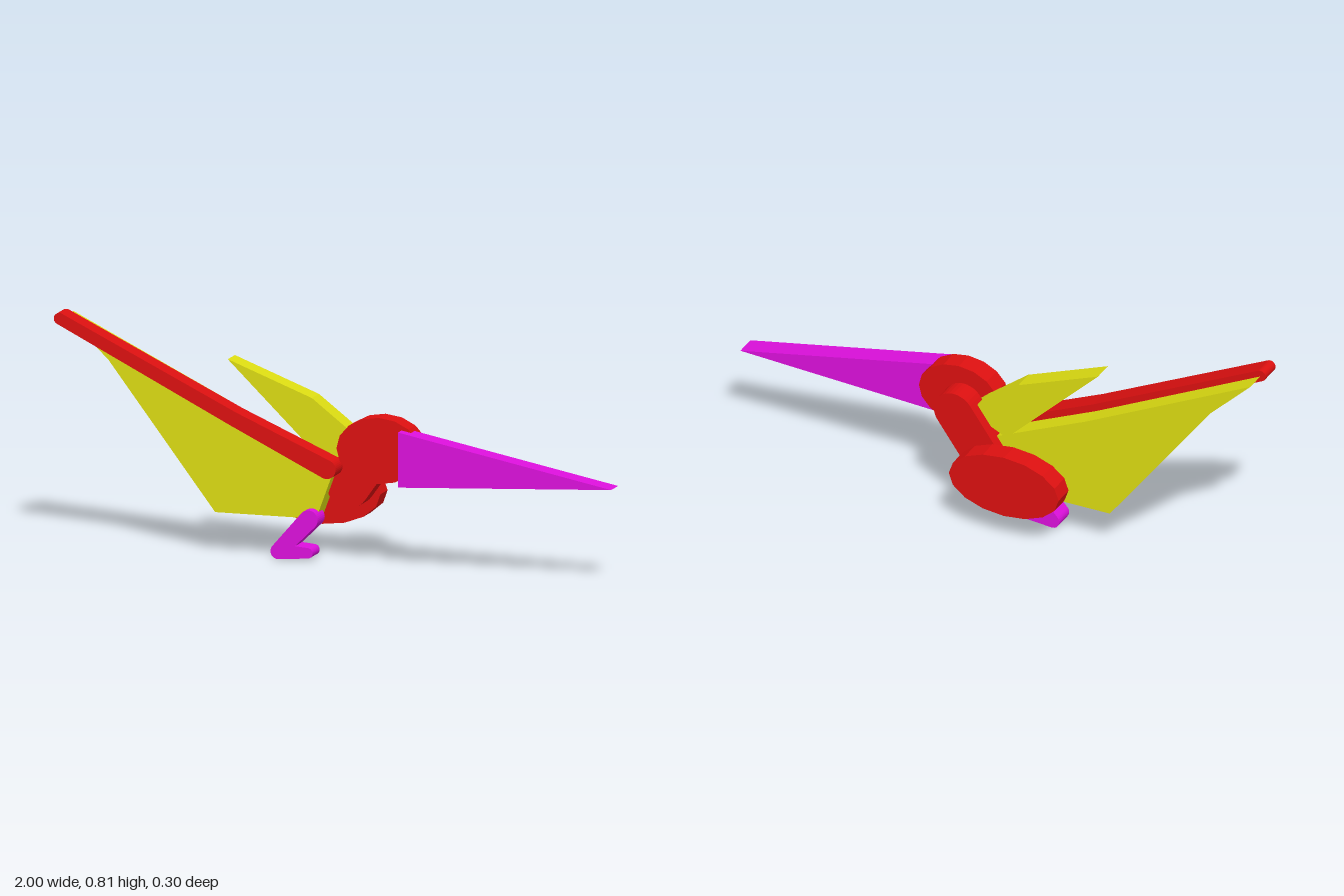
import * as THREE from 'three';

const DEPTH = 0.076;

const red = new THREE.MeshStandardMaterial({ name: 'red', color: 0xdd1010 });
const yellow = new THREE.MeshStandardMaterial({ name: 'yellow', color: 0xdddd12 });
const magenta = new THREE.MeshStandardMaterial({ name: 'magenta', color: 0xdd10dd });

// Flat outline extruded forward from zBack by one layer thickness
function slab(name, shape, zBack, material) {
  const geometry = new THREE.ExtrudeGeometry(shape, { depth: DEPTH, bevelEnabled: false, curveSegments: 8 });
  geometry.translate(0, 0, zBack);
  const mesh = new THREE.Mesh(geometry, material);
  mesh.name = name;
  return mesh;
}

function polygon(points) {
  return new THREE.Shape(points.map(([x, y]) => new THREE.Vector2(x, y)));
}

function ellipse(x, y, rx, ry) {
  return new THREE.Shape().absellipse(x, y, rx, ry, 0, Math.PI * 2, false);
}

// Round-ended limb outline between two circles [x, y, radius]
function limb([ax, ay, ar], [bx, by, br]) {
  const angle = Math.atan2(by - ay, bx - ax);
  const spread = Math.acos((ar - br) / Math.hypot(bx - ax, by - ay));
  const shape = new THREE.Shape();
  shape.absarc(ax, ay, ar, angle + spread, angle - spread + Math.PI * 2, false);
  shape.absarc(bx, by, br, angle - spread, angle + spread, false);
  return shape;
}

// Chain of limbs through a list of circles
function limbChain(name, circles, zBack, material) {
  const group = new THREE.Group();
  group.name = name;
  for (let i = 1; i < circles.length; i++) {
    group.add(slab(`${name}Segment${i}`, limb(circles[i - 1], circles[i]), zBack, material));
  }
  return group;
}

export function createModel() {
  const model = new THREE.Group();
  model.name = 'flyingReptile';

  // Body, neck and head, each one layer further forward
  model.add(slab('body', ellipse(-0.106, 0.215, 0.207, 0.115), -0.152, red));
  model.add(slab('neck', limb([0.01, 0.25, 0.075], [0.12, 0.405, 0.075]), -0.076, red));
  model.add(slab('head', ellipse(0.158, 0.404, 0.15, 0.114), 0.038, red));

  // Beak
  model.add(slab('beak', polygon([[0.24, 0.29], [1, 0.33], [0.24, 0.48]]), 0.076, magenta));

  // Wing membranes
  model.add(slab('nearWing', polygon([
    [-0.98, 0.785], [-0.83, 0.64], [-0.45, 0.14], [-0.09, 0.14], [-0.02, 0.33], [-0.36, 0.48],
  ]), -0.038, yellow));
  model.add(slab('farWing', polygon([
    [-0.405, 0.67], [-0.06, 0.335], [0.085, 0.405], [0.045, 0.44], [-0.105, 0.555],
  ]), -0.038, yellow));

  // Wing arm along the leading edge
  model.add(limbChain('wingArm', [
    [-0.98, 0.787, 0.02], [-0.36, 0.481, 0.025], [-0.028, 0.328, 0.033],
  ], 0.038, red));

  // Leg and foot
  model.add(limbChain('leg', [
    [-0.105, 0.142, 0.033], [-0.213, 0.027, 0.027], [-0.108, 0.027, 0.018],
  ], 0, magenta));

  return model;
}
